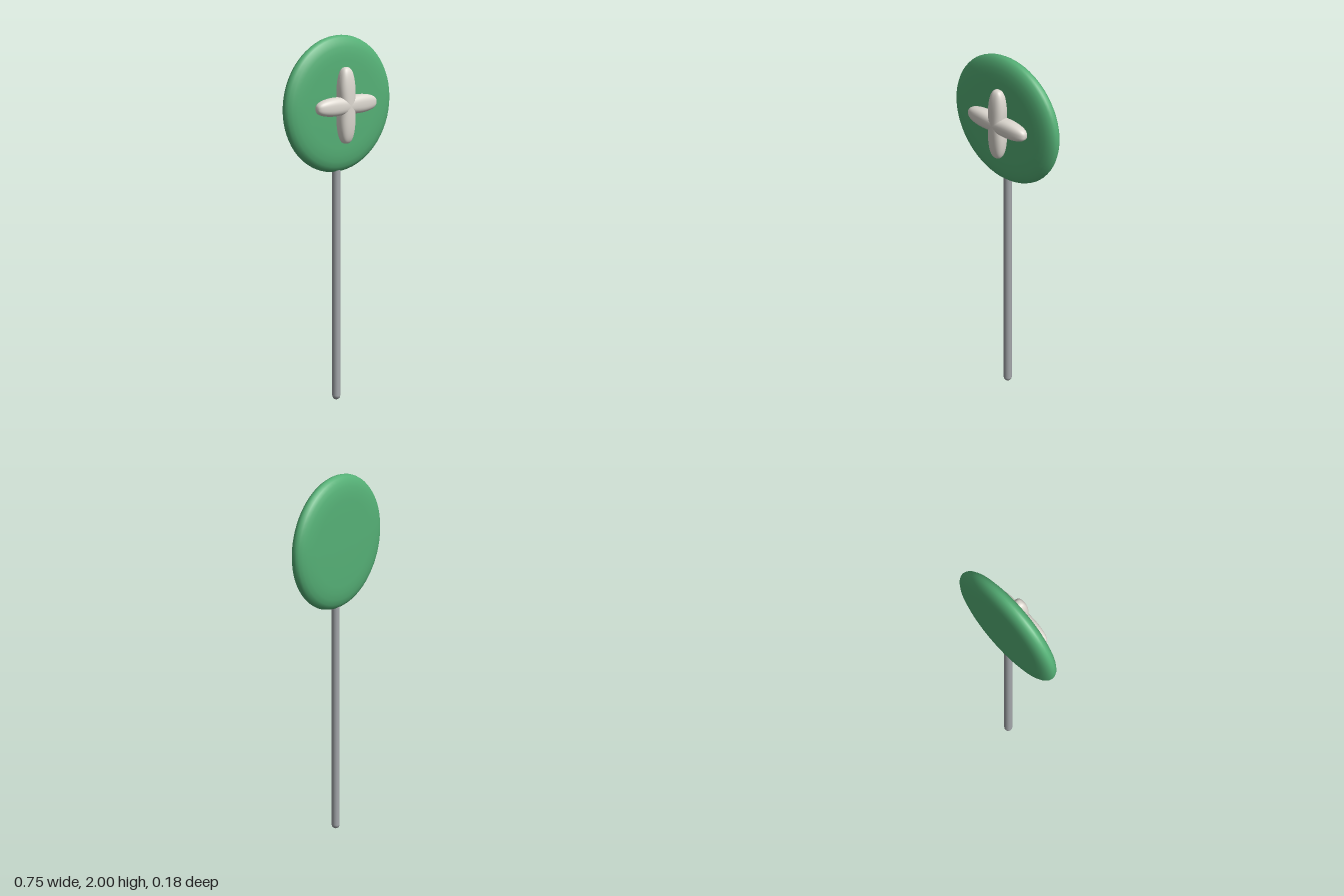
import * as THREE from 'three';

const material = (color, roughness = 0.7) => new THREE.MeshStandardMaterial({ color, roughness });

// Sphere pushed out into a rounded bar along y (superellipsoid)
function roundedBar(halfWidth, halfLength, halfDepth) {
  const geo = new THREE.SphereGeometry(1, 32, 28);
  const pos = geo.attributes.position;
  const soften = (v, e) => Math.sign(v) * Math.pow(Math.abs(v), e);
  for (let i = 0; i < pos.count; i++) {
    const y = pos.getY(i);
    const ring = Math.sqrt(Math.max(0, 1 - y * y));
    const c = ring > 1e-6 ? pos.getX(i) / ring : 0;
    const s = ring > 1e-6 ? pos.getZ(i) / ring : 0;
    const r = Math.pow(ring, 0.7);
    const t = soften(y, 0.75);
    // slight waist where the two bars cross
    const waist = 1 - 0.14 * Math.exp(-Math.pow(t / 0.3, 2));
    pos.setXYZ(i,
      halfWidth * r * waist * soften(c, 0.78),
      halfLength * t,
      halfDepth * r * soften(s, 0.78));
  }
  geo.computeVertexNormals();
  return geo;
}

export function createModel() {
  const model = new THREE.Group();
  const headY = 1.626, discZ = -0.038;

  // Flat pillow-shaped disc, turned to face the front
  const half = [[0.24, 0.0535], [0.28, 0.051], [0.316, 0.046], [0.345, 0.037], [0.364, 0.024], [0.372, 0.012]];
  const profile = [
    [0, -0.055], [0.12, -0.055],
    ...half.map(([r, h]) => [r, -h]),
    [0.375, 0],
    ...half.slice().reverse(),
    [0.12, 0.055], [0, 0.055],
  ].map(([r, h]) => new THREE.Vector2(r, h));
  const disc = new THREE.Mesh(new THREE.LatheGeometry(profile, 64), material(0x55b076));
  disc.name = 'disc';
  disc.rotation.x = Math.PI / 2;
  disc.position.set(0, headY, discZ);
  model.add(disc);

  // Crossed bars on the front of the disc
  const cross = new THREE.Group();
  cross.name = 'cross';
  const barGeo = roundedBar(0.054, 0.21, 0.046);
  const cream = material(0xddd8d0);
  ['verticalBar', 'horizontalBar'].forEach((name, i) => {
    const bar = new THREE.Mesh(barGeo, cream);
    bar.name = name;
    bar.rotation.z = i * Math.PI / 2;
    cross.add(bar);
  });
  cross.position.set(0, headY, 0.044);
  model.add(cross);

  // Thin round-ended stick
  const radius = 0.022, top = 1.28;
  const stick = new THREE.Mesh(new THREE.CapsuleGeometry(radius, top - 2 * radius, 6, 16), material(0xa4a7ab));
  stick.name = 'stick';
  stick.position.set(0, top / 2, discZ + 0.002);
  model.add(stick);

  return model;
}
